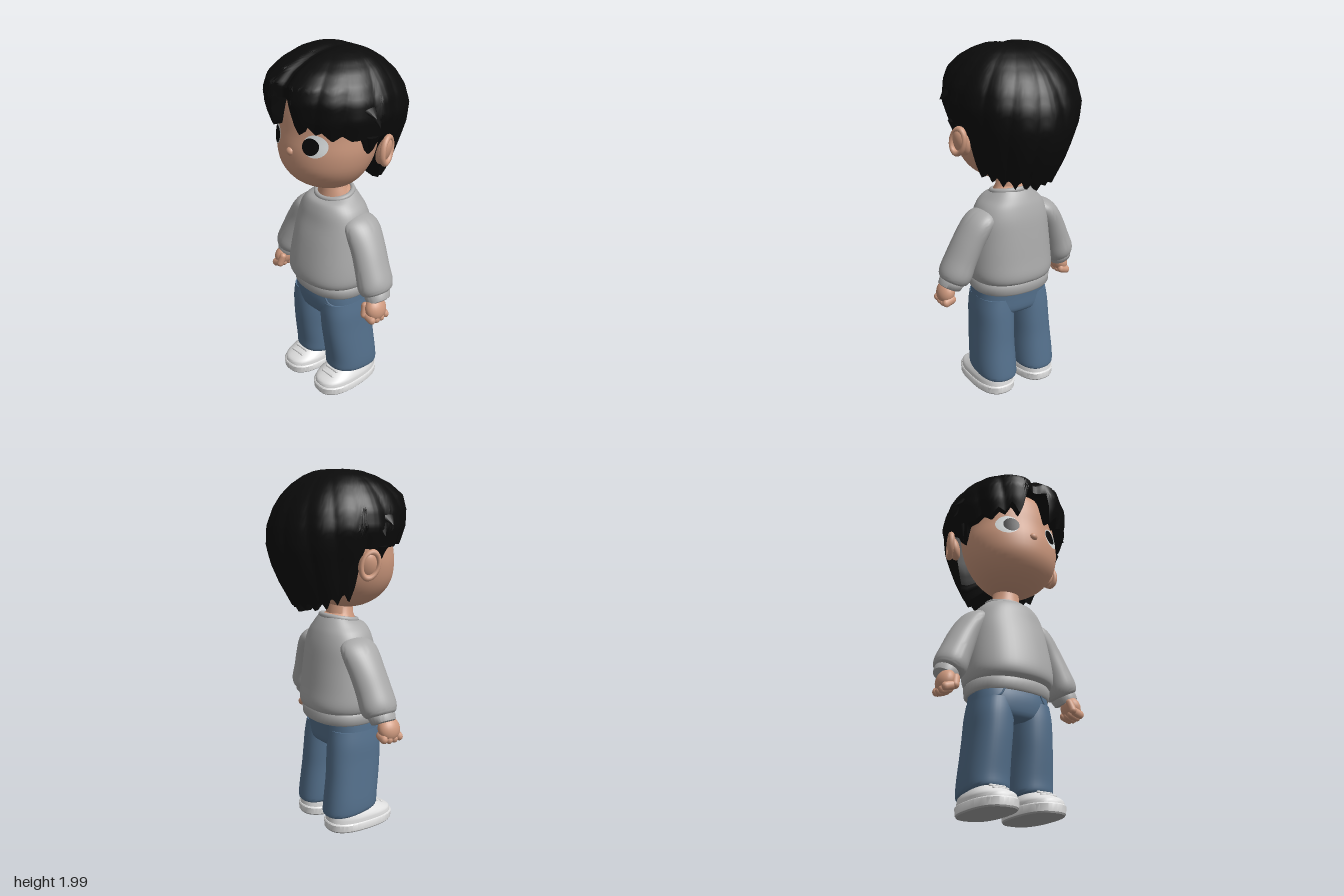
import * as THREE from 'three';
import { toCreasedNormals } from 'three/addons/utils/BufferGeometryUtils.js';

const mat = (name, color) => Object.assign(new THREE.MeshStandardMaterial({ color }), { name });

// Closed-around grid surface: fn(row, angle) gives a point, rows run upwards
function grid(rows, cols, fn, crease = 0.8) {
  const pos = [], idx = [];
  for (let i = 0; i < rows; i++)
    for (let j = 0; j < cols; j++) pos.push(...fn(i, (j / cols) * Math.PI * 2));
  for (let i = 0; i < rows - 1; i++)
    for (let j = 0; j < cols; j++) {
      const k = (j + 1) % cols;
      const a = i * cols + j, b = i * cols + k, c = b + cols, d = a + cols;
      idx.push(a, b, c, a, c, d);
    }
  const g = new THREE.BufferGeometry();
  g.setAttribute('position', new THREE.Float32BufferAttribute(pos, 3));
  g.setIndex(idx);
  return toCreasedNormals(g, crease);
}

// Spline through rings [y, cx, cz, rx, rz, slope]
function refine(rings, sub = 4) {
  const full = rings.map(([y, cx, cz, rx, rz, slope = 0]) => [y, cx, cz, rx, rz, slope]);
  const last = full.length - 1, out = [];
  for (let i = 0; i < last; i++) {
    const p = full[Math.max(0, i - 1)], q = full[i], r = full[i + 1], u = full[Math.min(last, i + 2)];
    for (let s = 0; s < sub; s++) {
      const t = s / sub;
      out.push(q.map((v, k) => {
        const c1 = r[k] - p[k];
        const c2 = 2 * p[k] - 5 * v + 4 * r[k] - u[k];
        const c3 = 3 * (v - r[k]) + u[k] - p[k];
        return v + 0.5 * t * (c1 + t * (c2 + t * c3));
      }));
    }
  }
  out.push(full[last]);
  return out;
}

// Horizontal superellipse sections with end caps
function loft(rings, power = 2, cols = 40) {
  const flat = (r) => [r[0], r[1], r[2], 0, 0, 0];
  const all = [flat(rings[0]), ...rings, flat(rings[rings.length - 1])];
  const bend = (v) => Math.sign(v) * Math.pow(Math.abs(v), 2 / power);
  return grid(all.length, cols, (i, a) => {
    const [y, cx, cz, rx, rz, slope = 0] = all[i];
    const z = rz * bend(Math.cos(a));
    return [cx + rx * bend(Math.sin(a)), y + slope * z, cz + z];
  });
}

// Linear lookup in a table of [key, ...values] with rising keys
function lookup(table, key, col = 1) {
  let i = 1;
  while (i < table.length - 1 && table[i][0] < key) i++;
  const a = table[i - 1], b = table[i];
  const t = THREE.MathUtils.clamp((key - a[0]) / (b[0] - a[0]), 0, 1);
  return a[col] + (b[col] - a[col]) * t;
}

const headRings = refine([
  [1.255, 0, 0.06, 0.03, 0.05], [1.27, 0, 0.065, 0.11, 0.105], [1.32, 0, 0.08, 0.19, 0.175],
  [1.4, 0, 0.08, 0.248, 0.23], [1.5, 0, 0.066, 0.278, 0.256], [1.6, 0, 0.045, 0.283, 0.265],
  [1.7, 0, 0.04, 0.283, 0.26], [1.8, 0, 0.025, 0.25, 0.245], [1.9, 0, 0, 0.15, 0.15]]);

// Thin oval lying on the face
function facePatch(cx, cy, rx, ry, lift) {
  const g = new THREE.RingGeometry(0.001, 1, 32, 6), p = g.attributes.position;
  for (let i = 0; i < p.count; i++) {
    const x = cx + p.getX(i) * rx, y = cy + p.getY(i) * ry;
    const [cz, hx, hz] = [2, 3, 4].map((c) => lookup(headRings, y, c));
    p.setXYZ(i, x, y, cz + hz * Math.sqrt(Math.max(0, 1 - (x / hx) ** 2)) + lift);
  }
  g.computeVertexNormals();
  return g;
}

// Hair radius by height: [y, front, side, back]
const hairProfile = [
  [1.24, 0.33, 0.2, 0.24], [1.3, 0.33, 0.24, 0.265], [1.4, 0.33, 0.27, 0.325], [1.5, 0.33, 0.295, 0.37],
  [1.6, 0.345, 0.335, 0.392], [1.7, 0.378, 0.367, 0.38], [1.79, 0.395, 0.352, 0.343], [1.86, 0.378, 0.315, 0.292],
  [1.92, 0.3, 0.265, 0.222], [1.96, 0.21, 0.21, 0.155], [1.985, 0.13, 0.145, 0.09], [2.003, 0, 0, 0]];
// Lower edge of the hair by degrees from the front
const hairEdge = [
  [0, 1.81], [9, 1.79], [12, 1.72], [14, 1.65], [17, 1.62], [21, 1.66], [24, 1.68], [30, 1.63], [36, 1.65],
  [44, 1.6], [52, 1.63], [60, 1.6], [70, 1.6], [75, 1.53], [80, 1.5], [84, 1.53], [87, 1.6], [98, 1.6],
  [103, 1.4], [108, 1.32], [140, 1.27], [180, 1.25]];

function hairGeometry() {
  const rows = 30;
  return grid(rows + 2, 240, (i, a) => {
    const t = a > Math.PI ? a - 2 * Math.PI : a, deg = Math.abs(t) * 180 / Math.PI;
    let edge = lookup(hairEdge, deg);
    if (deg > 108) edge += 0.05 * Math.abs(Math.sin((deg - 108) / 72 * Math.PI * 5));
    const v = i < 2 ? 1 : 1 - (i - 2) / (rows - 1);
    let y = 2.003 - (2.003 - edge) * v * v;
    const c = Math.cos(t), s = Math.sin(t);
    let r = lookup(hairProfile, y, c > 0 ? 1 : 3) * c * c + lookup(hairProfile, y, 2) * s * s;
    // locks, parting and underside
    r *= 1 - 0.035 * v * (1 - Math.abs(Math.sin(8 * Math.abs(t) + 2.2 * v)));
    r *= 1 - 0.13 * v * Math.exp(-((t / 0.12) ** 2));
    if (i === 1) r *= 0.86;
    if (i === 0) { r *= 0.45; y += 0.05; }
    const x = r * s, z = r * c;
    if (z > -0.12 && i > 1) y -= 0.02 * Math.exp(-((x / 0.035) ** 2)) * Math.min(1, (z + 0.12) / 0.1);
    return [x, y, z];
  }, 0.6);
}

export function createModel() {
  const root = new THREE.Group();
  root.name = 'standingChild';
  const hair = mat('black hair', 0x0b0b0b), skin = mat('skin', 0xcf9a7f), knit = mat('grey knit', 0xa9a9a9);
  const denim = mat('blue denim', 0x54708c), white = mat('white leather', 0xdedede), sole = mat('sole grey', 0xa6a6a6);
  const eyeWhite = mat('eye white', 0xdfe3e3), pupil = mat('pupil black', 0x070707);
  hair.side = THREE.DoubleSide;
  const add = (name, geo, m, p = [0, 0, 0], rot = [0, 0, 0], sc = [1, 1, 1], parent = root) => {
    const o = new THREE.Mesh(geo, m);
    o.name = name;
    o.position.set(...p);
    o.rotation.set(...rot);
    o.scale.set(...sc);
    parent.add(o);
  };
  const ball = new THREE.SphereGeometry(1, 24, 16);

  // Head
  add('head', loft(headRings, 2, 56), skin);
  add('nose', ball, skin, [0, 1.505, 0.317], [0, 0, 0], [0.024, 0.022, 0.02]);
  add('hair', hairGeometry(), hair);
  add('neck', loft([[1.13, 0, 0.02, 0.1, 0.09], [1.2, 0, 0.02, 0.1, 0.088, -0.2],
    [1.225, 0, 0.022, 0.078, 0.074], [1.32, 0, 0.025, 0.072, 0.07]]), skin);

  // Sweater body, waistband and collar
  add('sweaterBody', loft(refine([
    [0.685, 0, 0.03, 0.225, 0.19], [0.7, 0, 0.035, 0.238, 0.213], [0.74, 0, 0.037, 0.248, 0.222],
    [0.82, 0, 0.037, 0.244, 0.212], [0.95, 0, 0.03, 0.23, 0.19], [1.05, 0, 0.022, 0.218, 0.168],
    [1.12, 0, 0.022, 0.192, 0.15], [1.165, 0, 0.02, 0.152, 0.13], [1.195, 0, 0.015, 0.118, 0.1, -0.15]]), 2.3, 48), knit);
  add('waistband', loft([[0.622, 0, 0.028, 0.224, 0.185], [0.632, 0, 0.028, 0.232, 0.192],
    [0.675, 0, 0.03, 0.236, 0.197], [0.69, 0, 0.03, 0.226, 0.19]], 2.3, 48), knit);
  add('collar', new THREE.TorusGeometry(0.107, 0.015, 10, 40), knit, [0, 1.196, 0.017], [Math.PI / 2 + 0.18, 0, 0], [1, 0.9, 1]);

  // Hips
  add('hips', loft(refine([[0.475, 0, 0.035, 0.1, 0.12], [0.5, 0, 0.038, 0.215, 0.152],
    [0.58, 0, 0.042, 0.218, 0.162], [0.66, 0, 0.035, 0.21, 0.16]]), 2.6), denim);

  for (const s of [-1, 1]) {
    const part = (name) => (s > 0 ? 'left' : 'right') + name;

    // Eye
    add(part('EyeWhite'), facePatch(s * 0.145, 1.56, 0.058, 0.058, 0.004), eyeWhite);
    add(part('Pupil'), facePatch(s * 0.128, 1.558, 0.041, 0.044, 0.008), pupil);

    // Ear
    add(part('Ear'), ball, skin, [s * 0.322, 1.51, -0.025], [0, s * 0.35, -s * 0.3], [0.034, 0.076, 0.05]);
    add(part('EarRim'), new THREE.TorusGeometry(0.056, 0.014, 10, 28), skin,
      [s * 0.343, 1.518, -0.025], [0, Math.PI / 2 + s * 0.3, -s * 0.3], [0.8, 1.2, 1.2]);

    // Loose hair tips at the temple
    for (const [x, y, z, len, lean] of [[0.358, 1.735, 0.09, 0.06, 0.9], [0.352, 1.69, 0.05, 0.07, 0.5], [0.315, 1.56, 0.06, 0.1, -0.2]])
      add(part('HairTip'), new THREE.ConeGeometry(0.028, len, 8), hair, [s * x, y, z], [0, 0, s * (Math.PI + lean)], [0.7, 1, 1.4]);

    // Sleeve, cuff and hand
    const arm = new THREE.Group();
    arm.name = part('Arm');
    arm.position.set(s * 0.2, 1.08, 0);
    arm.rotation.z = s * 0.46;
    root.add(arm);
    const ring = (d, off, z, r, rz) => [-d, s * off, z, r, rz];
    add(part('Sleeve'), loft(refine([
      ring(0.405, -0.012, 0.038, 0.066, 0.075), ring(0.39, -0.012, 0.038, 0.082, 0.094), ring(0.35, -0.01, 0.036, 0.09, 0.106),
      ring(0.27, -0.004, 0.03, 0.085, 0.104), ring(0.16, 0, 0.018, 0.08, 0.105), ring(0.06, -0.006, 0.01, 0.074, 0.11),
      ring(0, -0.02, 0.01, 0.062, 0.1), ring(-0.04, -0.03, 0.01, 0.03, 0.06)])), knit, [0, 0, 0], [0, 0, 0], [1, 1, 1], arm);
    add(part('Cuff'), loft([ring(0.445, -0.012, 0.046, 0.055, 0.06), ring(0.44, -0.012, 0.046, 0.064, 0.07),
      ring(0.41, -0.012, 0.042, 0.069, 0.077), ring(0.395, -0.012, 0.04, 0.064, 0.072)]), knit, [0, 0, 0], [0, 0, 0], [1, 1, 1], arm);
    add(part('Palm'), ball, skin, [s * 0.393, 0.64, 0.075], [0, 0, s * 0.3], [0.048, 0.066, 0.066]);
    for (let f = 0; f < 4; f++)
      add(part('Finger'), new THREE.CapsuleGeometry(0.02, 0.035, 4, 10), skin,
        [s * 0.398, 0.59 + 0.006 * Math.abs(f - 1.5), 0.025 + f * 0.034], [0, 0, s * 1.25], [1.2, 1.1, 1]);
    add(part('Thumb'), new THREE.CapsuleGeometry(0.021, 0.05, 4, 10), skin, [s * 0.36, 0.632, 0.125], [-0.3, 0, s * 0.2]);

    // Trouser leg and pocket seam
    add(part('TrouserLeg'), loft(refine([
      [0.1, s * 0.128, 0.005, 0.108, 0.152, 0.12], [0.115, s * 0.13, 0.005, 0.118, 0.16, 0.12],
      [0.18, s * 0.13, 0.01, 0.119, 0.158, 0.06], [0.3, s * 0.127, 0.025, 0.114, 0.158], [0.4, s * 0.122, 0.034, 0.112, 0.16],
      [0.5, s * 0.118, 0.04, 0.111, 0.158], [0.58, s * 0.11, 0.042, 0.108, 0.15]]), 2.4), denim);
    const seam = new THREE.CatmullRomCurve3([[0.11, 0.625, 0.192], [0.13, 0.59, 0.186], [0.165, 0.575, 0.164], [0.2, 0.575, 0.12]]
      .map(([x, y, z]) => new THREE.Vector3(s * x, y, z)));
    add(part('PocketSeam'), new THREE.TubeGeometry(seam, 14, 0.005, 6), denim);

    // Shoe: bottom plate, midsole, upper and laces
    const cx = s * 0.138;
    add(part('SoleBottom'), loft([[0, cx, 0.06, 0.112, 0.205], [0.008, cx, 0.06, 0.115, 0.208]], 2.5), sole);
    add(part('Midsole'), loft([[0.008, cx, 0.06, 0.118, 0.21], [0.045, cx, 0.06, 0.121, 0.213],
      [0.052, cx, 0.06, 0.115, 0.207]], 2.5), white);
    add(part('ShoeUpper'), loft(refine([[0.05, cx, 0.06, 0.113, 0.204], [0.075, cx, 0.057, 0.111, 0.198],
      [0.1, cx, 0.035, 0.1, 0.172], [0.125, cx, 0.01, 0.085, 0.145], [0.15, cx, -0.015, 0.07, 0.11]]), 2.5), white);
    for (let k = 0; k < 3; k++)
      add(part('Lace'), new THREE.CapsuleGeometry(0.008, 0.08, 4, 8), white,
        [cx, 0.135 - k * 0.017, 0.135 + k * 0.032], [0, 0, Math.PI / 2]);
  }
  return root;
}
